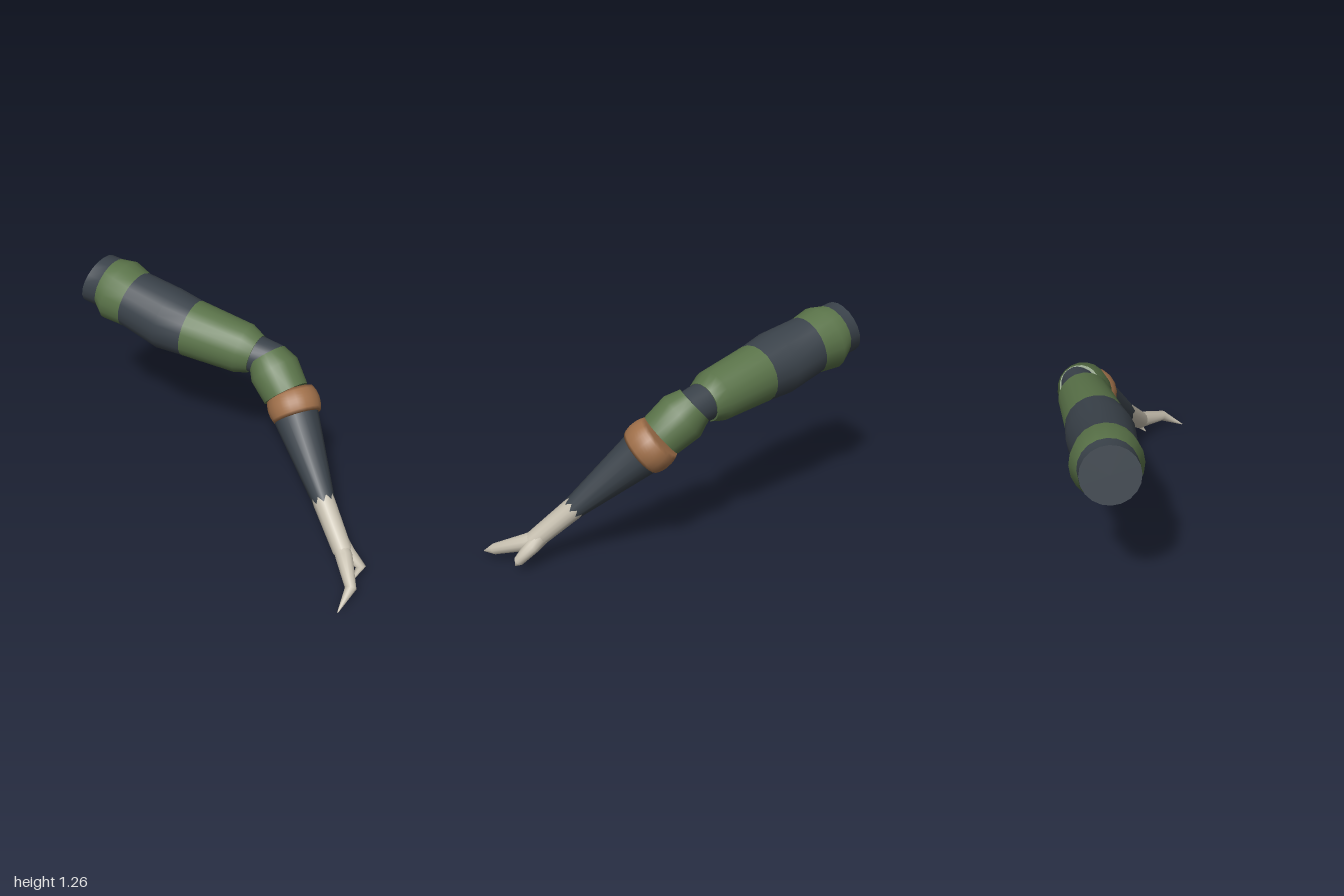
import * as THREE from 'three';

const material = (name, color) => {
  const m = new THREE.MeshStandardMaterial({ color });
  m.name = name;
  return m;
};

// Skin a tube over rings [x, y, z, radius, zigzag]; bands gives the material index of each span.
function loft(rings, bands, sides, startAxis) {
  const centres = rings.map(r => new THREE.Vector3(r[0], r[1], r[2]));
  const spans = bands.map((_, i) => centres[i + 1].clone().sub(centres[i]).normalize());
  const up = new THREE.Vector3(0, 1, 0);
  const positions = [], index = [];
  const geometry = new THREE.BufferGeometry();

  const addRing = i => {
    const axis = new THREE.Vector3();
    if (i === 0 && startAxis) axis.copy(startAxis);
    else {
      if (i > 0) axis.add(spans[i - 1]);
      if (i < spans.length) axis.add(spans[i]);
    }
    axis.normalize();
    const u = new THREE.Vector3().crossVectors(up, axis).normalize();
    const v = new THREE.Vector3().crossVectors(axis, u);
    for (let j = 0; j < sides; j++) {
      const a = j / sides * Math.PI * 2;
      const p = centres[i].clone()
        .addScaledVector(u, Math.cos(a) * rings[i][3])
        .addScaledVector(v, Math.sin(a) * rings[i][3])
        .addScaledVector(axis, (rings[i][4] || 0) * (j % 2 ? 1 : -1));
      positions.push(p.x, p.y, p.z);
    }
  };

  rings.forEach((_, i) => addRing(i));
  bands.forEach((band, i) => {
    const start = index.length;
    for (let j = 0; j < sides; j++) {
      const k = (j + 1) % sides;
      const a = i * sides + j, b = i * sides + k;
      index.push(a, b, a + sides, b, b + sides, a + sides);
    }
    geometry.addGroup(start, index.length - start, band);
  });

  // Flat end caps with their own vertices
  for (const i of [0, rings.length - 1]) {
    const start = index.length, base = positions.length / 3;
    addRing(i);
    positions.push(...centres[i].toArray());
    for (let j = 0; j < sides; j++) {
      const a = base + j, b = base + (j + 1) % sides, c = base + sides;
      if (i === 0) index.push(c, b, a); else index.push(c, a, b);
    }
    geometry.addGroup(start, index.length - start, bands[i ? bands.length - 1 : 0]);
  }

  geometry.setAttribute('position', new THREE.Float32BufferAttribute(positions, 3));
  geometry.setIndex(index);
  geometry.computeVertexNormals();
  return geometry;
}

export function createModel() {
  const group = new THREE.Group();
  group.name = 'clawedArm';
  const dark = material('darkSlate', 0x3a424a);
  const green = material('mossGreen', 0x5a7349);
  const copper = material('copperBrown', 0xa0704a);
  const bone = material('paleBone', 0xc6bfaf);

  const add = (name, geometry, mat) => {
    const mesh = new THREE.Mesh(geometry, mat);
    mesh.name = name;
    group.add(mesh);
    return mesh;
  };

  // Thick banded upper limb
  add('upperArm', loft([
    [-0.955, 1.107, -0.513, 0.16],
    [-0.875, 1.098, -0.497, 0.16],
    [-0.803, 1.072, -0.478, 0.196],
    [-0.69, 1.05, -0.444, 0.176],
    [-0.455, 1.0, -0.388, 0.19],
    [-0.30, 0.98, -0.364, 0.172],
    [0.04, 0.943, -0.316, 0.15],
    [0.115, 0.928, -0.305, 0.118],
  ], [0, 1, 1, 0, 0, 1, 1], 20, new THREE.Vector3(1, -0.28, 0.29)), [dark, green]);

  // Narrow joint between the limb and the elbow
  add('elbowJoint', loft([
    [0.09, 0.935, -0.308, 0.113],
    [0.25, 0.915, -0.285, 0.102],
  ], [0], 20), [dark]);

  // Elbow sleeve turning down and forward
  add('elbowSleeve', loft([
    [0.185, 0.937, -0.298, 0.116],
    [0.245, 0.877, -0.26, 0.15],
    [0.34, 0.778, -0.19, 0.137],
  ], [0, 0], 20), [green]);

  // Rounded cuff, cut flat at both ends, aligned with the forearm
  const axis = new THREE.Vector3(0.5, -0.66, 0.56).normalize();
  const profile = [new THREE.Vector2(0, -0.08)];
  for (let i = 0; i <= 8; i++) {
    const y = -0.08 + i * 0.15 / 8;
    profile.push(new THREE.Vector2(Math.sqrt(0.156 ** 2 - y * y), y));
  }
  profile.push(new THREE.Vector2(0, 0.07));
  const cuff = add('cuff', new THREE.LatheGeometry(profile, 20), copper);
  cuff.position.set(0.4, 0.73, -0.16);
  cuff.quaternion.setFromUnitVectors(new THREE.Vector3(0, 1, 0), axis);

  // Tapered forearm running into the palm with a zigzag colour edge
  add('forearmAndPalm', loft([
    [0.41, 0.705, -0.14, 0.132],
    [0.43, 0.68, -0.118, 0.131],
    [0.685, 0.355, 0.158, 0.064, 0.018],
    [0.855, 0.158, 0.322, 0.056],
    [0.885, 0.135, 0.355, 0.03],
  ], [0, 0, 1, 1], 16), [dark, bone]);

  // Two hooked claws
  const claws = {
    frontClaw: [[0.83, 0.185, 0.295, 0.045], [0.875, 0.145, 0.355, 0.05],
      [0.964, 0.08, 0.525, 0.033], [0.93, 0.003, 0.655, 0.003]],
    sideClaw: [[0.835, 0.185, 0.28, 0.045], [0.885, 0.135, 0.31, 0.045],
      [0.97, 0.075, 0.33, 0.03], [0.935, 0.003, 0.395, 0.003]],
  };
  for (const [name, rings] of Object.entries(claws)) {
    add(name, loft(rings, [0, 0, 0], 12), [bone]);
  }
  return group;
}
